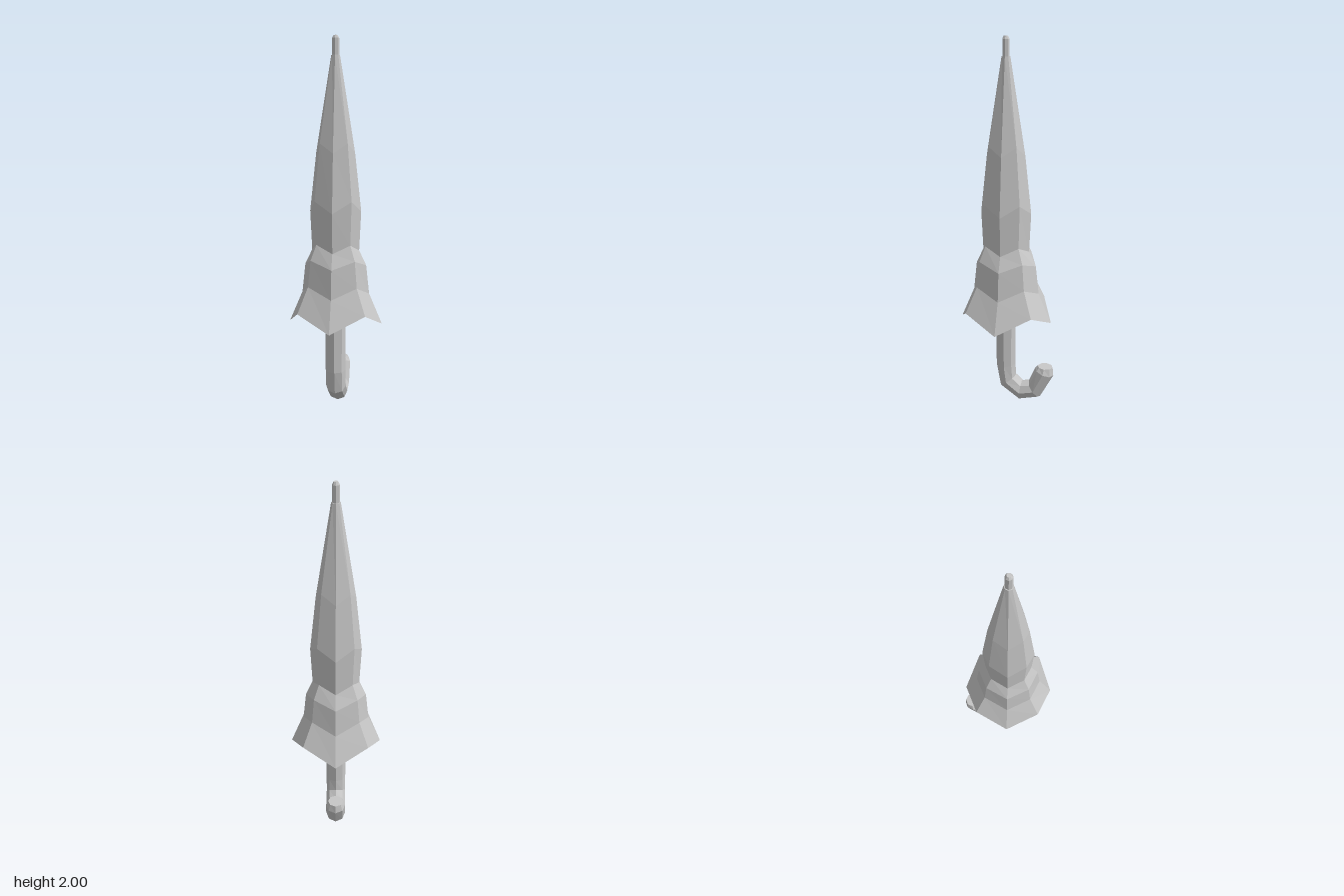
import * as THREE from 'three';

const SIDES = 8;
const AXIS_Z = 0.0125;

// Joins rings of points (ordered downward, outward facing) into a faceted skin.
function loft(rings) {
  const pos = [], index = [];
  rings.forEach(ring => ring.forEach(p => pos.push(...p)));
  for (let j = 0; j < rings.length - 1; j++) {
    for (let i = 0; i < SIDES; i++) {
      const k = (i + 1) % SIDES;
      const a = j * SIDES + i, b = a + SIDES, c = (j + 1) * SIDES + k, d = j * SIDES + k;
      index.push(a, b, c, a, c, d);
    }
  }
  const indexed = new THREE.BufferGeometry();
  indexed.setAttribute('position', new THREE.Float32BufferAttribute(pos, 3));
  indexed.setIndex(index);
  const geo = indexed.toNonIndexed();
  geo.computeVertexNormals();
  return geo;
}

const angles = Array.from({ length: SIDES }, (_, i) => (i / SIDES) * Math.PI * 2);

export function createModel() {
  const model = new THREE.Group();
  model.name = 'umbrella';
  const grey = new THREE.MeshStandardMaterial({ color: 0xc6c6c6, flatShading: true, side: THREE.DoubleSide });
  grey.name = 'grey';

  function add(name, geo, y = 0, z = 0) {
    const mesh = new THREE.Mesh(geo, grey);
    mesh.name = name;
    mesh.position.set(0, y, z);
    model.add(mesh);
  }

  // Folded canopy: radius, height at the rib points, height at the points between
  const canopy = [
    [0.023, 1.9, 1.9],
    [0.103, 1.4, 1.45],
    [0.137, 1.09, 1.15],
    [0.127, 0.88, 0.92],
    [0.165, 0.8, 0.84],
    [0.182, 0.645, 0.7],
    [0.252, 0.48, 0.565],
  ].map(([r, yRib, yGap]) => angles.map((a, i) =>
    [r * Math.sin(a), i % 2 ? yGap : yRib, r * Math.cos(a)]));
  add('canopy', loft(canopy), 0, AXIS_Z);

  // Tip with a bevelled end
  add('tip', new THREE.CylinderGeometry(0.019, 0.019, 0.11, SIDES), 1.93, AXIS_Z);
  add('tipEnd', new THREE.CylinderGeometry(0.011, 0.019, 0.015, SIDES), 1.9925, AXIS_Z);
  add('canopyTop', new THREE.CylinderGeometry(0.023, 0.023, 0.004, SIDES), 1.898, AXIS_Z);

  // Shaft inside the canopy
  add('shaft', new THREE.CylinderGeometry(0.029, 0.029, 1.2, SIDES), 1.07, AXIS_Z);

  // Hooked handle: centre z, centre y, heading in degrees (0 is down, 90 is back), radius
  const handle = [
    [AXIS_Z, 0.48, 0, 0],
    [AXIS_Z, 0.48, 0, 0.048],
    [AXIS_Z, 0.47, 0, 0.055],
    [AXIS_Z, 0.21, 4, 0.055],
    [0, 0.115, 35, 0.055],
    [-0.075, 0.058, 85, 0.055],
    [-0.152, 0.075, 127, 0.055],
    [-0.207, 0.185, 160, 0.055],
    [-0.212, 0.216, 177, 0.042],
    [-0.212, 0.216, 177, 0],
  ].map(([z, y, deg, r]) => {
    const t = THREE.MathUtils.degToRad(deg);
    return angles.map(a => [
      r * Math.sin(a),
      y - Math.sin(t) * r * Math.cos(a),
      z + Math.cos(t) * r * Math.cos(a),
    ]);
  });
  add('handle', loft(handle));

  return model;
}
